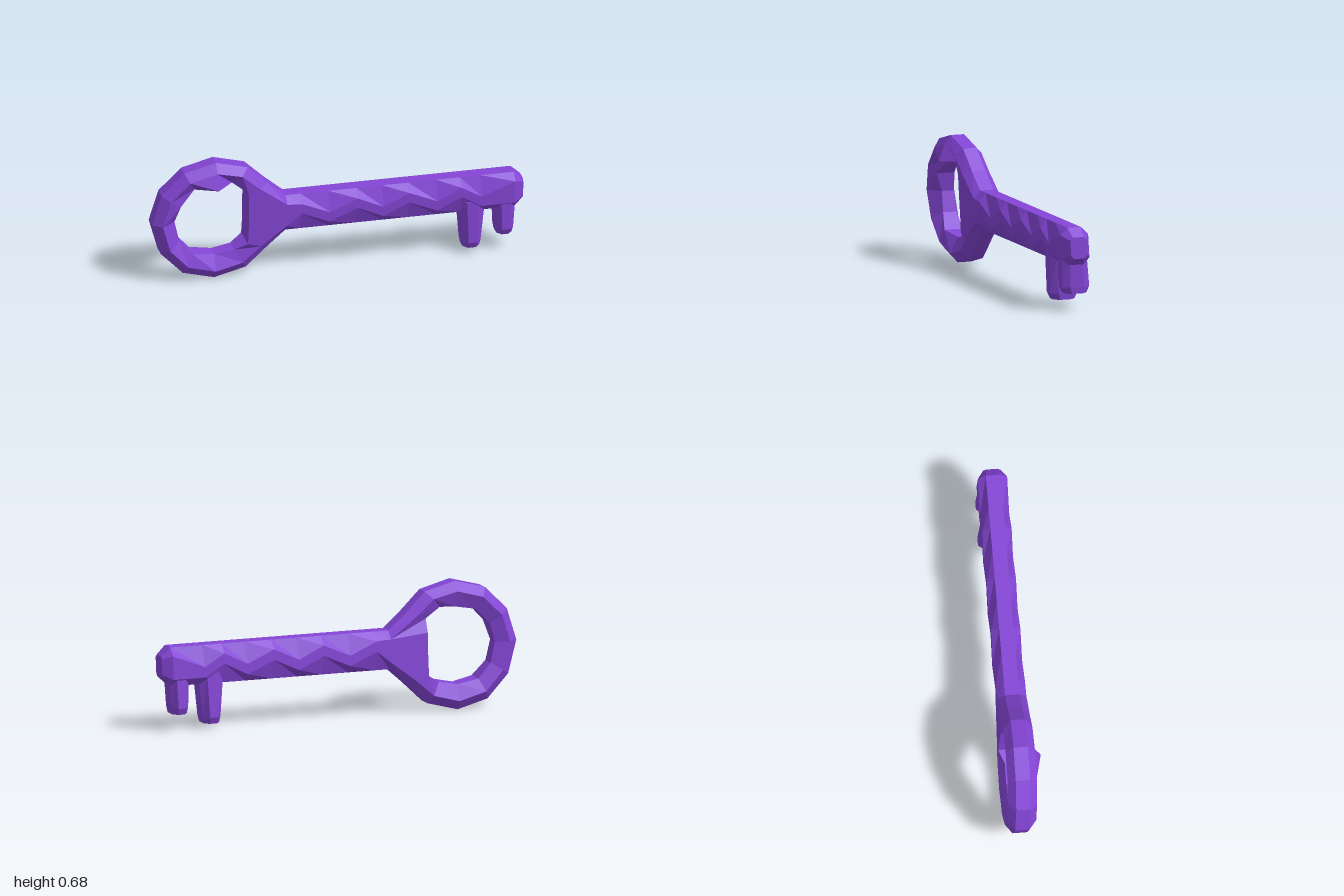
import * as THREE from 'three';

const purple = new THREE.MeshStandardMaterial({ color: 0x8445d6 });
purple.name = 'purple';
purple.flatShading = true;

// Skin a row of equal-length cross-sections; either joined in a ring or capped
function loft(sections, ring = false) {
  const pos = [];
  const tri = (a, b, c) => pos.push(...a, ...b, ...c);
  const n = sections[0].length, m = sections.length;
  for (let i = 0; i < (ring ? m : m - 1); i++) {
    const s = sections[i], t = sections[(i + 1) % m];
    for (let j = 0; j < n; j++) {
      const k = (j + 1) % n;
      tri(s[j], s[k], t[k]);
      tri(s[j], t[k], t[j]);
    }
  }
  if (!ring) {
    const a = sections[0], b = sections[m - 1];
    for (let j = 1; j < n - 1; j++) {
      tri(a[0], a[j + 1], a[j]);
      tri(b[0], b[j], b[j + 1]);
    }
  }
  // The whole key leans slightly toward the front at the top
  for (let i = 0; i < pos.length; i += 3) pos[i + 2] += 0.058 * pos[i + 1] - 0.035;
  const g = new THREE.BufferGeometry();
  g.setAttribute('position', new THREE.Float32BufferAttribute(pos, 3));
  g.computeVertexNormals();
  return g;
}

const FLAT = 0.038, DEPTH = 0.077;

// Ring-shaped head: outer x, y, hole x, y, front depth at the hole
function headGeometry() {
  const stations = [
    [-0.66, 0.685, -0.66, 0.55, 0.113],
    [-0.49, 0.64, -0.57, 0.555, 0.03],
    [-0.38, 0.535, -0.49, 0.5, 0.075],
    [-0.28, 0.45, -0.487, 0.43, DEPTH],
    [-0.28, 0.245, -0.487, 0.27, DEPTH],
    [-0.37, 0.165, -0.49, 0.2, DEPTH],
    [-0.49, 0.05, -0.555, 0.16, 0.045],
    [-0.66, 0.005, -0.66, 0.14, 0.03],
    [-0.83, 0.05, -0.78, 0.16, 0.055],
    [-0.95, 0.175, -0.85, 0.24, 0.03],
    [-1, 0.35, -0.875, 0.35, 0.02],
    [-0.95, 0.52, -0.85, 0.45, 0.055],
    [-0.83, 0.64, -0.77, 0.53, 0.02],
  ];
  return loft(stations.map(([ox, oy, hx, hy, hz]) => {
    const f = 0.05 / Math.hypot(hx - ox, hy - oy);
    let rx = ox + (hx - ox) * f, ry = oy + (hy - oy) * f;
    // Corners that meet the shaft
    if (ox === -0.28) { rx = ox; ry = oy > 0.35 ? 0.41 : 0.285; }
    const back = hz === DEPTH ? DEPTH : 0.045;
    return [
      [ox, oy, -FLAT], [ox, oy, FLAT], [rx, ry, DEPTH], [hx, hy, hz],
      [hx, hy, -back], [rx, ry, -DEPTH],
    ];
  }), true);
}

// Bevelled shaft section; hi and lo are the heights of the face's edges
function shaftSection(x, hi, lo, top = 0.45, bottom = 0.245, w = FLAT, d = DEPTH) {
  return [
    [x, top, -w], [x, top, w], [x, hi, d], [x, lo, d],
    [x, bottom, w], [x, bottom, -w], [x, lo, -d], [x, hi, -d],
  ];
}

// Shaft whose front and back faces zigzag up and down
function shaftGeometry() {
  const sections = [shaftSection(-0.28, 0.41, 0.285)];
  [-0.2, -0.05, 0.1, 0.24, 0.38, 0.53, 0.66, 0.77].forEach((x, i) =>
    sections.push(i % 2 ? shaftSection(x, 0.34, 0.285) : shaftSection(x, 0.405, 0.35)));
  sections.push(shaftSection(0.95, 0.41, 0.285));
  sections.push(shaftSection(1, 0.39, 0.31, 0.405, 0.29, 0.03, 0.045));
  return loft(sections);
}

// Octagonal tapering tooth
function toothGeometry(x, topHalf, bottomHalf, bottomY) {
  const section = (y, w, d) => {
    const a = w * 0.45, b = d * 0.5;
    return [[w, -b], [w, b], [a, d], [-a, d], [-w, b], [-w, -b], [-a, -d], [a, -d]]
      .map(([px, pz]) => [x + px, y, pz]);
  };
  return loft([
    section(0.31, topHalf, 0.07),
    section(bottomY + 0.035, bottomHalf + 0.005, 0.077),
    section(bottomY, bottomHalf, 0.06),
  ]);
}

export function createModel() {
  const model = new THREE.Group();
  model.name = 'key';
  const add = (name, geometry) => {
    const mesh = new THREE.Mesh(geometry, purple);
    mesh.name = name;
    model.add(mesh);
  };
  add('ringHead', headGeometry());
  add('shaft', shaftGeometry());
  add('longTooth', toothGeometry(0.725, 0.073, 0.045, 0.035));
  add('shortTooth', toothGeometry(0.903, 0.058, 0.042, 0.095));
  return model;
}
